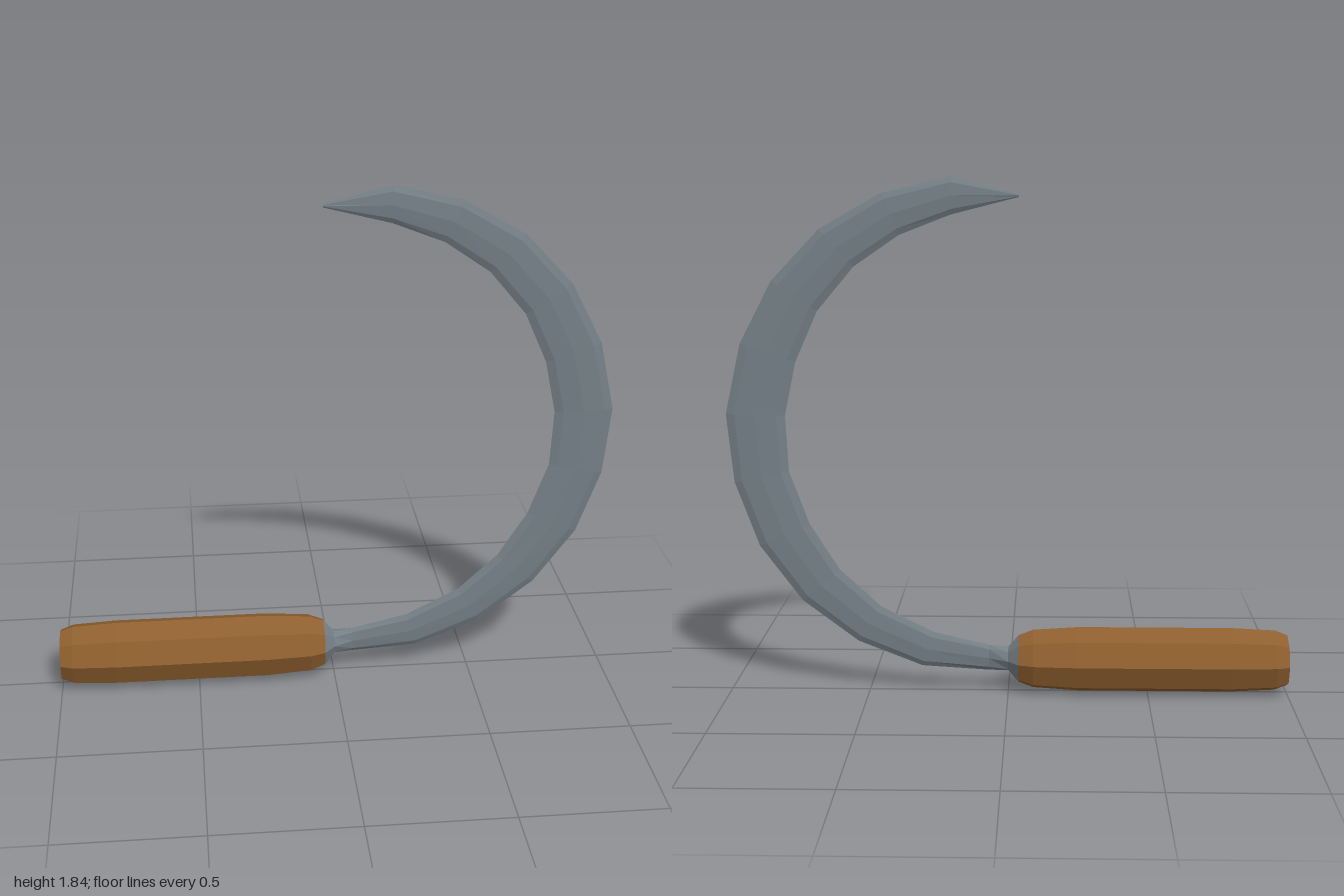
import * as THREE from 'three';

const SIDES = 8;

// Loft an eight-sided section along stations [innerX, innerY, outerX, outerY, halfThickness]
function loft(stations, capStart, capEnd) {
  const rings = stations.map(([ix, iy, ox, oy, h]) =>
    Array.from({ length: SIDES }, (_, j) => {
      const a = (j / SIDES) * Math.PI * 2;
      const t = (1 + Math.cos(a)) / 2; // 0 = inner edge, 1 = outer edge
      return [ix + (ox - ix) * t, iy + (oy - iy) * t, h * Math.sin(a)];
    }));
  const pos = [];
  const tri = (a, b, c) => pos.push(...a, ...b, ...c);
  for (let i = 0; i < rings.length - 1; i++) {
    for (let j = 0; j < SIDES; j++) {
      const k = (j + 1) % SIDES;
      const [p, q] = [rings[i], rings[i + 1]];
      tri(p[j], q[j], p[k]);
      tri(p[k], q[j], q[k]);
    }
  }
  const first = rings[0], last = rings[rings.length - 1];
  for (let j = 1; j < SIDES - 1; j++) {
    if (capStart) tri(first[0], first[j], first[j + 1]);
    if (capEnd) tri(last[0], last[j + 1], last[j]);
  }
  const geo = new THREE.BufferGeometry();
  geo.setAttribute('position', new THREE.Float32BufferAttribute(pos, 3));
  geo.computeVertexNormals();
  return geo;
}

export function createModel() {
  const wood = new THREE.MeshStandardMaterial({ color: 0x8f5f2f });
  wood.name = 'wood';
  const steel = new THREE.MeshStandardMaterial({ color: 0x747f86 });
  steel.name = 'steel';

  const group = new THREE.Group();
  group.name = 'sickle';
  const add = (name, geo, mat) => {
    const mesh = new THREE.Mesh(geo, mat);
    mesh.name = name;
    group.add(mesh);
  };

  // Round station on the handle axis
  const axisY = 0.118;
  const round = ([x, r]) => [x, axisY + r, x, axisY - r, r];

  // Octagonal wooden handle
  add('handle', loft([
    [-1, 0.093], [-0.955, 0.11], [-0.8, 0.118], [-0.25, 0.118], [-0.09, 0.107], [-0.037, 0.087],
  ].map(round), true, false), wood);

  // Steel collar narrowing from the handle into the blade
  const neck = [0.07, 0.168, 0.07, 0.075, 0.014];
  add('collar', loft([round([-0.037, 0.087]), round([0, 0.044]), neck], false, false), steel);

  // Curved blade: inner edge, outer edge and half thickness
  add('blade', loft([
    neck,
    [0.27, 0.215, 0.31, 0.09, 0.014],
    [0.46, 0.31, 0.54, 0.18, 0.014],
    [0.605, 0.445, 0.74, 0.33, 0.014],
    [0.71, 0.61, 0.89, 0.53, 0.014],
    [0.78, 0.8, 0.975, 0.76, 0.014],
    [0.79, 1.0, 1.0, 1.005, 0.014],
    [0.75, 1.19, 0.945, 1.255, 0.014],
    [0.67, 1.37, 0.83, 1.475, 0.014],
    [0.54, 1.525, 0.66, 1.655, 0.014],
    [0.38, 1.635, 0.44, 1.78, 0.014],
    [0.2, 1.705, 0.2, 1.835, 0.014],
    [-0.035, 1.765, -0.038, 1.777, 0.006],
  ], false, true), steel);

  return group;
}
